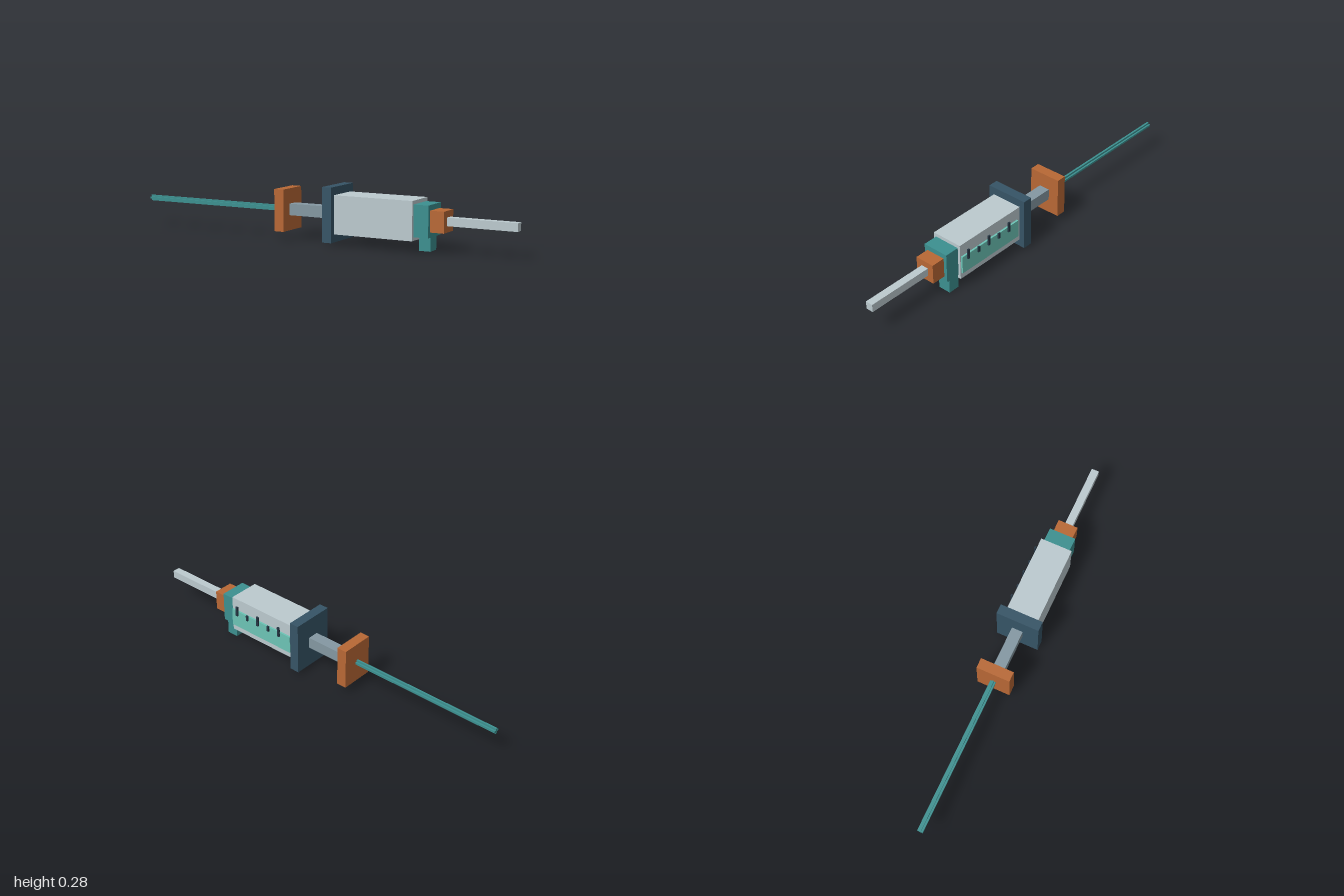
import * as THREE from 'three';

const mat = (name, color) => {
  const m = new THREE.MeshStandardMaterial({ color });
  m.name = name;
  return m;
};

export function createModel() {
  const group = new THREE.Group();
  const teal = mat('teal', 0x3c9090);
  const orange = mat('copper orange', 0xb86835);
  const navy = mat('navy', 0x365466);
  const pale = mat('pale grey', 0xbccacf);
  const steel = mat('steel grey', 0x8498a2);
  const aqua = mat('aqua', 0x6cc4b6);
  const ink = mat('dark ink', 0x263644);
  const axis = 0.147; // height of the long axis

  // Box given by its limits on each axis
  const box = (name, material, [x0, x1], [y0, y1], [z0, z1]) => {
    const mesh = new THREE.Mesh(new THREE.BoxGeometry(x1 - x0, y1 - y0, z1 - z0), material);
    mesh.position.set((x0 + x1) / 2, (y0 + y1) / 2, (z0 + z1) / 2);
    mesh.name = name;
    group.add(mesh);
  };
  // Box centred on the long axis, with half height and half depth
  const section = (name, material, x0, x1, hy, hz) =>
    box(name, material, [x0, x1], [axis - hy, axis + hy], [-hz, hz]);

  // Ribbed rod with a cross-shaped section
  const a = 0.014, b = 0.005;
  const cross = new THREE.Shape([
    [a, -b], [a, b], [b, b], [b, a], [-b, a], [-b, b],
    [-a, b], [-a, -b], [-b, -b], [-b, -a], [b, -a], [b, -b],
  ].map(([x, y]) => new THREE.Vector2(x, y)));
  const rodGeometry = new THREE.ExtrudeGeometry(cross, { depth: 0.79, bevelEnabled: false });
  rodGeometry.rotateY(Math.PI / 2);
  const rod = new THREE.Mesh(rodGeometry, teal);
  rod.position.set(-1, axis, 0);
  rod.name = 'ribbedRod';
  group.add(rod);

  // Parts strung along the axis
  section('endPlate', orange, -0.213, -0.162, 0.102, 0.084);
  section('shaft', steel, -0.162, 0.064, 0.028, 0.028);
  section('flange', navy, 0.062, 0.111, 0.131, 0.108);
  section('barrel', pale, 0.111, 0.516, 0.0925, 0.08);
  section('frontCap', teal, 0.516, 0.59, 0.075, 0.067);
  section('collar', orange, 0.59, 0.66, 0.05, 0.05);
  section('tip', pale, 0.66, 1, 0.0195, 0.019);

  // Tab hanging below the cap
  box('lowerTab', teal, [0.514, 0.572], [0, 0.074], [-0.062, 0.003]);

  // Window on the back of the barrel with long and short marks
  box('window', aqua, [0.131, 0.511], [0.088, 0.178], [-0.0895, -0.08]);
  for (let i = 0; i < 5; i++) {
    const x = 0.201 + i * 0.0685;
    const height = i % 2 === 0 ? 0.051 : 0.028;
    box('scaleMark', ink, [x - 0.006, x + 0.006], [0.155, 0.155 + height], [-0.097, -0.089]);
  }
  return group;
}
